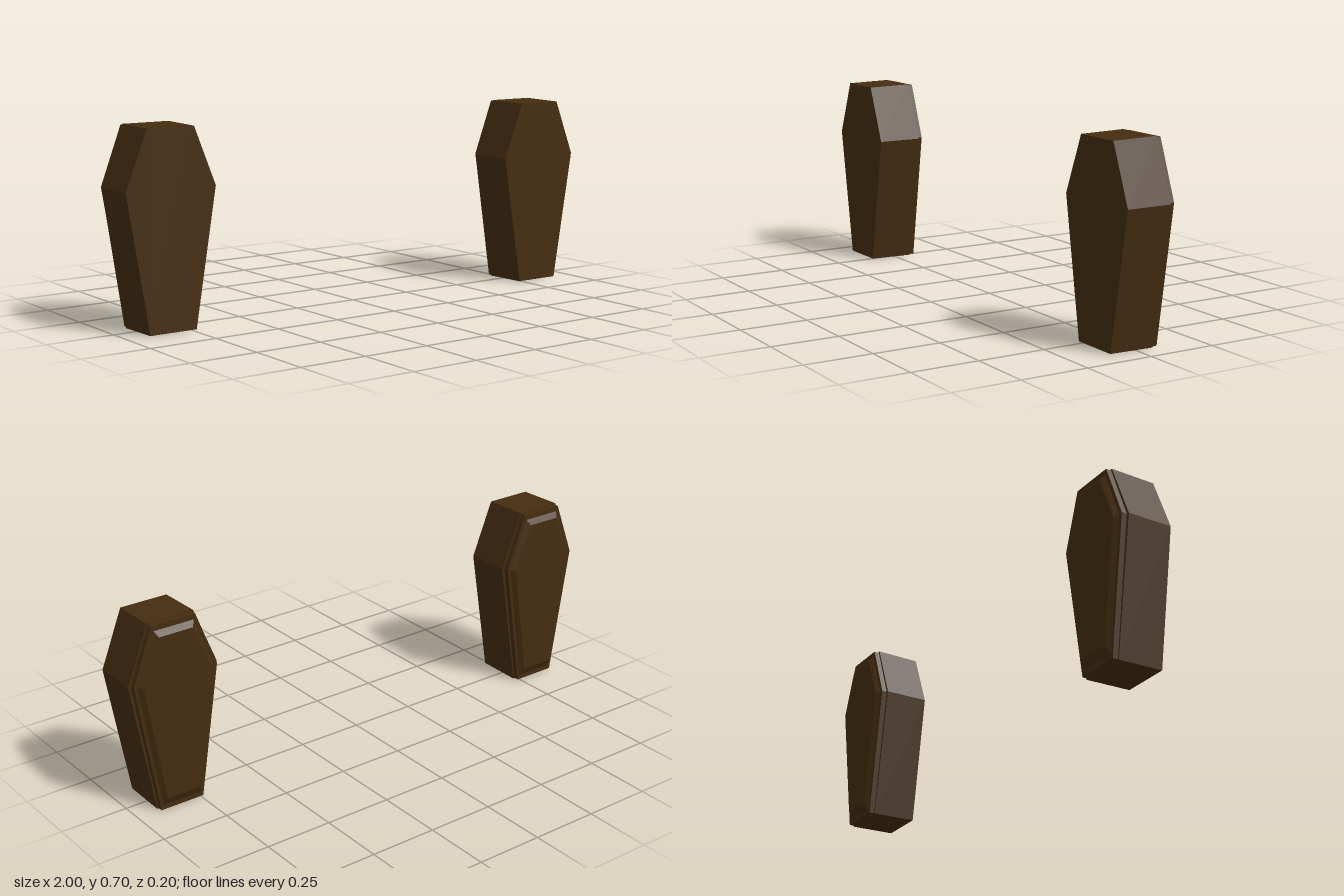
import * as THREE from 'three';

// Six-sided coffin outline, counter-clockwise seen from the front
function section(z, bottom, shoulder, top, endHalf, shoulderHalf) {
  return [
    [-endHalf, bottom, z], [endHalf, bottom, z], [shoulderHalf, shoulder, z],
    [endHalf, top, z], [-endHalf, top, z], [-shoulderHalf, shoulder, z],
  ];
}

// Solid between a front and a back outline, with flat faces
function loft(front, back) {
  const pos = [];
  const n = front.length;
  for (let i = 0; i < n; i++) {
    const j = (i + 1) % n;
    pos.push(...front[i], ...back[i], ...back[j], ...front[i], ...back[j], ...front[j]);
  }
  for (let i = 1; i < n - 1; i++) {
    pos.push(...front[0], ...front[i], ...front[i + 1]);
    pos.push(...back[0], ...back[i + 1], ...back[i]);
  }
  const geometry = new THREE.BufferGeometry();
  geometry.setAttribute('position', new THREE.Float32BufferAttribute(pos, 3));
  geometry.computeVertexNormals();
  return geometry;
}

export function createModel() {
  const wood = new THREE.MeshStandardMaterial({ color: 0x452d10, flatShading: true });
  wood.name = 'dark wood';

  const parts = {
    // Deep box
    coffinBody: loft(
      section(0.102, 0.003, 0.493, 0.701, 0.09, 0.173),
      section(-0.068, 0, 0.493, 0.704, 0.09, 0.174)),
    // Stepped lid on the back
    coffinLid: loft(
      section(-0.068, 0.002, 0.495, 0.7, 0.085, 0.163),
      section(-0.088, 0.002, 0.495, 0.7, 0.085, 0.163)),
    // Raised bevelled panel on the lid
    lidPanel: loft(
      section(-0.088, 0.02, 0.493, 0.68, 0.077, 0.149),
      section(-0.103, 0.05, 0.49, 0.66, 0.066, 0.134)),
  };

  const model = new THREE.Group();
  model.name = 'coffinPair';
  for (const side of [-1, 1]) {
    const coffin = new THREE.Group();
    coffin.name = side > 0 ? 'leftCoffin' : 'rightCoffin';
    coffin.position.x = side * 0.826;
    for (const [name, geometry] of Object.entries(parts)) {
      const mesh = new THREE.Mesh(geometry, wood);
      mesh.name = name;
      coffin.add(mesh);
    }
    model.add(coffin);
  }
  return model;
}
